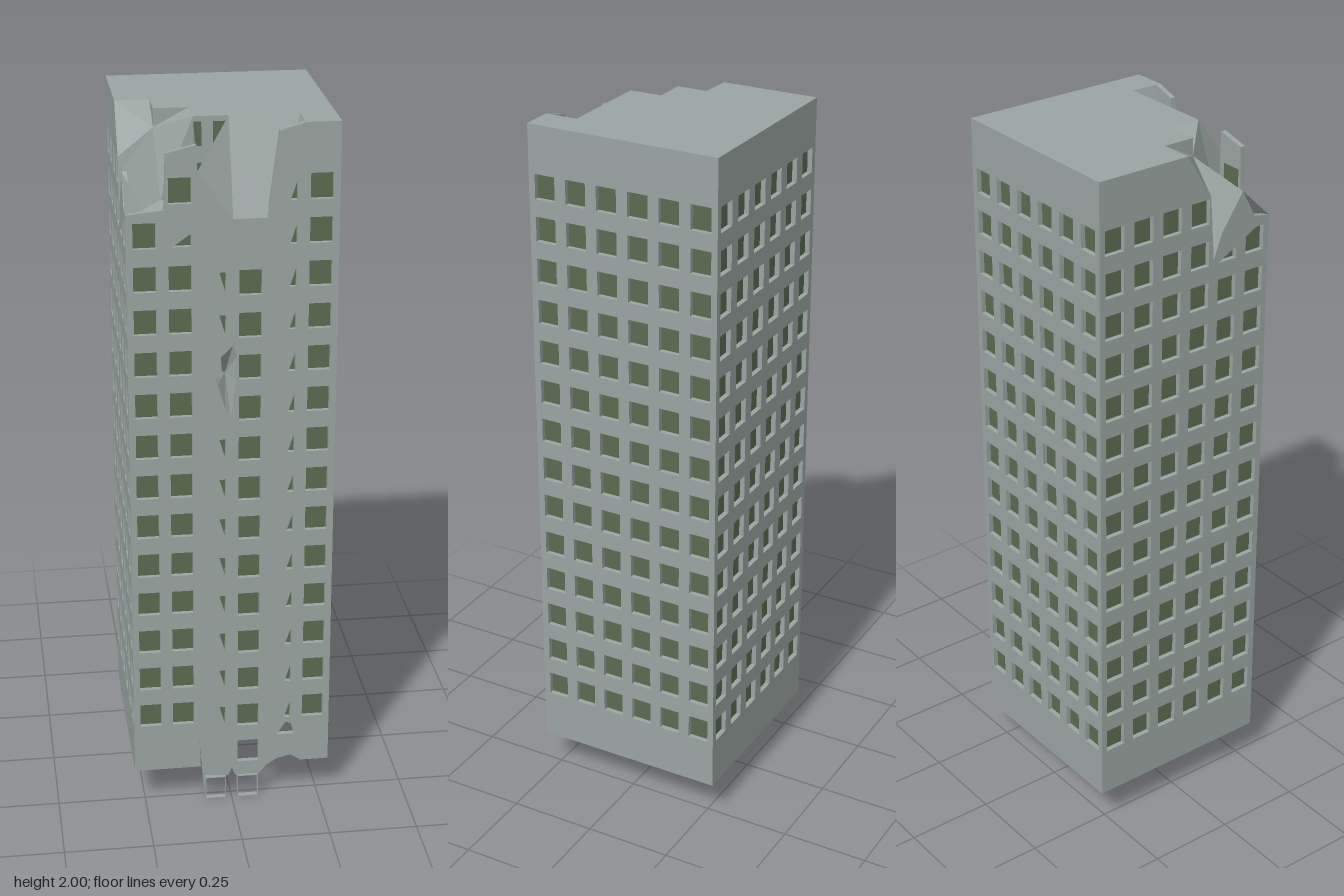
import * as THREE from 'three';
import { mergeGeometries } from 'three/addons/utils/BufferGeometryUtils.js';

const H = 0.28, BASE = 0.11, TOP = 2, DEPTH = 0.015;
const WIN_W = 0.06, WIN_H = 0.07, ROW = 0.1185, ROWS = 14, FIRST = 0.29;
const COLS = [-0.232, -0.139, -0.0465, 0.0465, 0.139, 0.232];
const DROP = 0.255; // how far the broken front panel has slipped

const wallMat = new THREE.MeshStandardMaterial({ color: 0x9aa5a2, flatShading: true });
const brokenMat = new THREE.MeshStandardMaterial({ color: 0x9aa5a2, flatShading: true, side: THREE.DoubleSide });
const glassMat = new THREE.MeshStandardMaterial({ color: 0x5b6b50, side: THREE.DoubleSide });

const rowY = (i) => FIRST + i * ROW;
const toVec = (pts) => pts.map(([x, y]) => new THREE.Vector2(x, y));
const rect = (x, y, w = WIN_W, h = WIN_H) => [
  [x - w / 2, y - h / 2], [x + w / 2, y - h / 2], [x + w / 2, y + h / 2], [x - w / 2, y + h / 2]];

function mesh(name, geometry, material) {
  const m = new THREE.Mesh(geometry, material);
  m.name = name;
  return m;
}

// Wall pierced by windows; each opening may have a pane at the back of its reveal
function wall(name, outline, openings, angle) {
  const g = new THREE.Group();
  g.name = name;
  const shape = new THREE.Shape(toVec(outline));
  openings.forEach((o) => shape.holes.push(new THREE.Path(toVec(o.pts))));
  const body = new THREE.ExtrudeGeometry(shape, { depth: DEPTH, bevelEnabled: false });
  body.translate(0, 0, H - DEPTH);
  g.add(mesh(name + 'Shell', body, wallMat));
  const panes = openings.filter((o) => o.glass).map((o) =>
    new THREE.ShapeGeometry(new THREE.Shape(toVec(o.pts))).translate(0, 0, H - DEPTH + 0.001));
  g.add(mesh(name + 'Panes', mergeGeometries(panes), glassMat));
  g.rotation.y = angle;
  return g;
}

// Full grid of windows, with a filter for missing ones
function windowGrid(keep = () => true) {
  const list = [];
  COLS.forEach((x, c) => {
    for (let r = 0; r < ROWS; r++) if (keep(c, r)) list.push({ pts: rect(x, rowY(r)), glass: true });
  });
  return list;
}

// Flat facets from a list of point triples
function facets(name, tris) {
  const g = new THREE.BufferGeometry();
  g.setAttribute('position', new THREE.Float32BufferAttribute(tris.flat(2), 3));
  g.computeVertexNormals();
  return mesh(name, g, brokenMat);
}

function frontWall() {
  const outline = [
    [-H, BASE], [-0.09, BASE], [-0.094, 0.21], [-0.08, 0.02], [-0.076, 0.08], [-0.01, 0.075], [0, 0.1],
    [0.01, 0.075], [0.08, 0.075], [0.1, 0.1], [0.13, 0.12], [0.17, 0.13], [0.2, BASE], [H, BASE],
    [H, TOP], [0.187, TOP], [0.12, 1.98], [0.09, 1.75], [0, 1.75], [-0.093, 1.88], [-0.095, 1.95],
    [-0.175, 1.93], [-0.18, 1.78], [-H, 1.77]];
  const openings = windowGrid((c, r) => c === 5 || (c === 0 && r < 13) || (c === 1 && r !== 12));
  openings.push({ pts: [[-0.16, 1.68], [-0.11, 1.68], [-0.11, 1.715]], glass: true });
  for (let r = 0; r < ROWS; r++) {
    const y = rowY(r), d = y - DROP;
    // slivers of the windows hidden along both edges of the slipped panel
    openings.push({ pts: [[0.15, y - 0.035], [0.168, y - 0.035], [0.168, y + 0.02]], glass: true });
    if (d < 0.1) continue;
    openings.push({ pts: rect(COLS[3], d), glass: d > 0.2 });
    if (d > 0.2 && Math.abs(d - 1.28) > 0.1)
      openings.push({ pts: [[-0.02, d - 0.025], [-0.018, d + 0.03], [-0.036, d + 0.03]], glass: true });
  }
  openings.push({ pts: [[0.13, 0.2], [0.18, 0.2], [0.17, 0.235], [0.155, 0.24]], glass: false });
  // dent in the middle of the facade
  const rim = [[-0.07, 1.34], [-0.04, 1.29], [-0.02, 1.22], [-0.005, 1.19], [0.01, 1.3],
    [0.012, 1.37], [0, 1.4], [-0.02, 1.38]];
  openings.push({ pts: rim, glass: false });
  const g = wall('frontWall', outline, openings, 0);
  g.add(facets('facadeDent', rim.map((p, i) => {
    const q = rim[(i + 1) % rim.length];
    return [[...p, H - 0.002], [...q, H - 0.002], [-0.015, 1.31, 0.235]];
  })));
  const plate = mesh('loosePlate', new THREE.BoxGeometry(0.045, 0.07, 0.004), brokenMat);
  plate.position.set(-0.053, 1.345, 0.277);
  plate.rotation.z = 0.08;
  g.add(plate);
  return g;
}

// Empty window frames hanging below the slipped panel
function hangingFrame(x) {
  const shape = new THREE.Shape(toVec(rect(x, 0.035)));
  shape.holes.push(new THREE.Path(toVec(rect(x, 0.035, WIN_W - 0.004, WIN_H - 0.004))));
  const geo = new THREE.ExtrudeGeometry(shape, { depth: DEPTH, bevelEnabled: false });
  return mesh('hangingFrame', geo.translate(0, 0, H - DEPTH), wallMat);
}

export function createModel() {
  const model = new THREE.Group();
  model.name = 'damagedTower';

  // Walls
  const full = [[-H, BASE], [H, BASE], [H, TOP], [-H, TOP]];
  const leftBroken = [[-H, BASE], [H, BASE], [H, 1.77], [0.23, 1.78], [0.187, 1.86], [0.12, 1.76],
    [0.093, 1.69], [0.08, 1.87], [0, TOP], [-H, TOP]];
  model.add(frontWall());
  model.add(wall('leftWall', full, windowGrid(), Math.PI / 2));
  model.add(wall('backWall', full, windowGrid(), Math.PI));
  model.add(wall('rightWall', leftBroken, windowGrid((c, r) => c < 4 || r < 13), -Math.PI / 2));

  // Roof with the broken corner stepped out of it (x, z)
  const roof = [[-H, -H], [H, -H], [H, H], [0.187, H], [0.187, 0.187], [-0.093, 0.187],
    [-0.093, 0.093], [-0.187, 0.093], [-0.187, 0], [-H, 0]];
  const roofGeo = new THREE.ShapeGeometry(new THREE.Shape(toVec(roof.map(([x, z]) => [x, -z]))));
  model.add(mesh('roof', roofGeo.rotateX(-Math.PI / 2).translate(0, TOP, 0), brokenMat));

  // Underside, open where the panel fell through
  const floor = [[-H, -H], [H, -H], [H, H], [0.15, H], [0.12, 0.187], [0.1, 0.1], [0, 0.12],
    [-0.09, 0.185], [-0.09, H], [-H, H]];
  const floorGeo = new THREE.ShapeGeometry(new THREE.Shape(toVec(floor)));
  model.add(mesh('underside', floorGeo.rotateX(Math.PI / 2).translate(0, BASE, 0), wallMat));

  // Facets where the front parapet has caved in
  const a = [0, TOP, 0.187], b = [0.093, TOP, 0.187], c = [0.093, 1.75, H], d = [0, 1.75, H];
  const e = [0.187, TOP, 0.187], f = [0.187, TOP, H];
  model.add(facets('cavedParapet', [
    [a, d, c], [a, c, b], [b, c, e], [e, c, f], [a, [-0.093, 1.88, H], d]]));

  // Crater facets at the broken corner
  const p0 = [-H, TOP, 0], p1 = [-0.187, TOP, 0], p2 = [-0.187, 1.95, 0.093], p3 = [-H, 1.87, 0.08];
  const p4 = [-H, 1.69, 0.093], p5 = [-H, 1.86, 0.187], p6 = [-0.18, 1.78, 0.187], p7 = [-0.18, 1.77, H];
  const p8 = [-H, 1.77, H], p9 = [-0.093, TOP, 0.187], p10 = [-0.093, TOP, 0.093], p11 = [-0.093, 1.77, H];
  const p12 = [-0.093, 1.77, 0.187], p13 = [-0.23, 1.77, 0.235], p14 = [-H, 1.76, 0.12];
  const p15 = [-0.187, TOP, 0.093];
  model.add(facets('cornerCrater', [
    [p0, p2, p1], [p0, p3, p2], [p3, p4, p2], [p4, p14, p2], [p14, p5, p2], [p2, p5, p6],
    [p2, p6, p9], [p2, p9, p10], [p1, p2, p15], [p2, p10, p15], [p5, p13, p6], [p5, p8, p13],
    [p13, p8, p7], [p13, p7, p6], [p6, p7, p11], [p6, p11, p12], [p6, p12, p9],
    [p9, p12, p11], [p9, p11, [-0.093, 1.88, H]]]));

  // Rubble and hanging frames
  const chunk = mesh('rubble', new THREE.BoxGeometry(0.02, 0.03, 0.02), wallMat);
  chunk.position.set(-0.078, 1.7, 0.235);
  model.add(chunk, hangingFrame(COLS[2]), hangingFrame(COLS[3]));
  return model;
}
